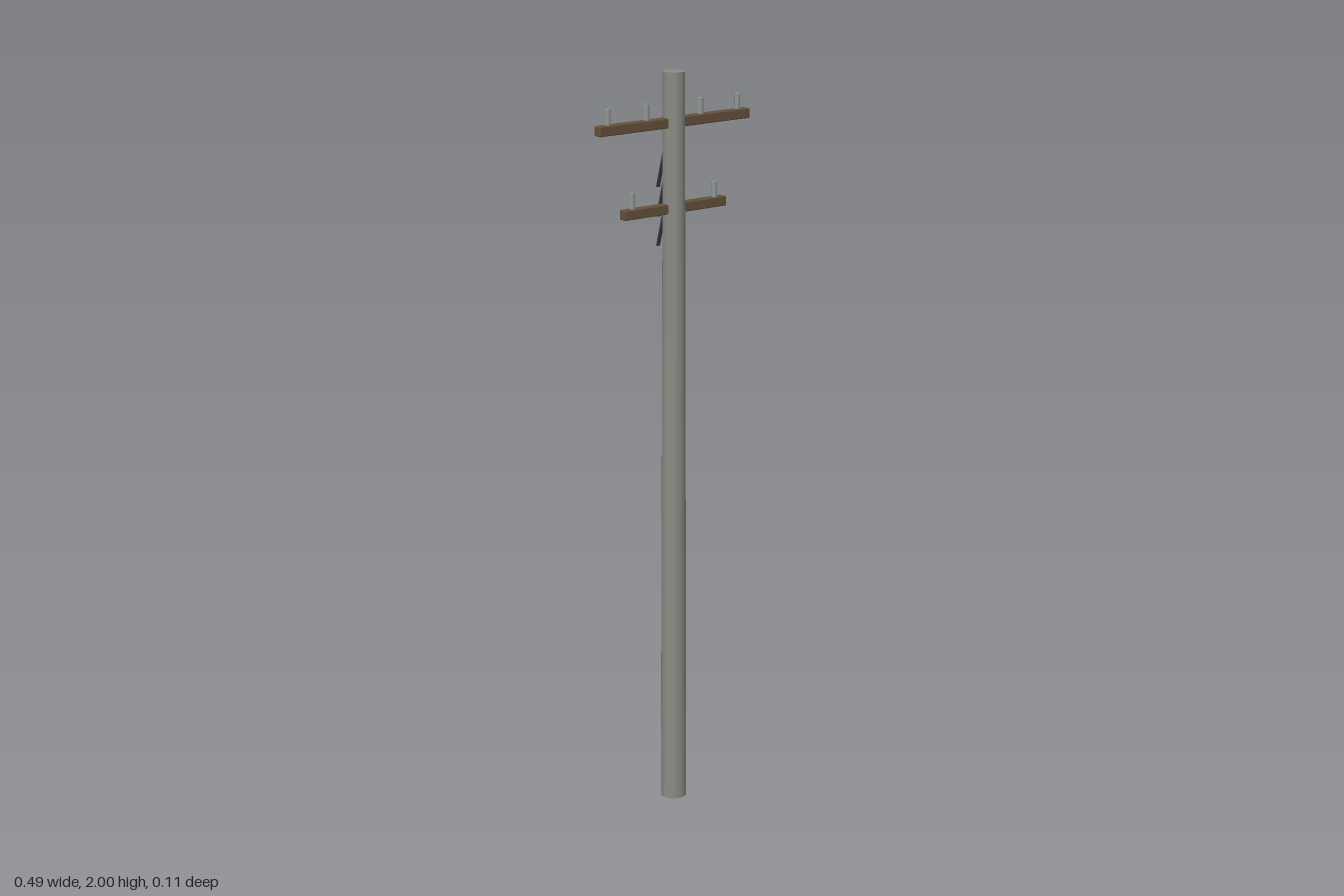
import * as THREE from 'three';
import { RoundedBoxGeometry } from 'three/addons/geometries/RoundedBoxGeometry.js';

const POLE_Z = 0.0145;

export function createModel() {
  const model = new THREE.Group();
  const poleMat = new THREE.MeshStandardMaterial({ color: 0x8c8c86 });
  const woodMat = new THREE.MeshStandardMaterial({ color: 0x65513a });
  const pinMat = new THREE.MeshStandardMaterial({ color: 0x8f9a93 });
  const ironMat = new THREE.MeshStandardMaterial({ color: 0x3c4148 });

  const add = (parent, name, geometry, material, x, y, z) => {
    const mesh = new THREE.Mesh(geometry, material);
    mesh.name = name;
    mesh.position.set(x, y, z);
    parent.add(mesh);
    return mesh;
  };

  // Tapered pole
  add(model, 'pole', new THREE.CylinderGeometry(0.0295, 0.0365, 2, 10), poleMat, 0, 1, POLE_Z);

  // Crossarm with mirrored insulator pins
  const addCrossarm = (name, y, length, pinXs) => {
    const arm = new THREE.Group();
    arm.name = name;
    arm.position.set(0, y, POLE_Z - 0.001);
    add(arm, 'beam', new RoundedBoxGeometry(length, 0.026, 0.026, 1, 0.003), woodMat, 0, 0, 0);
    for (const px of pinXs) {
      for (const side of [-1, 1]) {
        add(arm, 'insulator', new THREE.CylinderGeometry(0.008, 0.008, 0.042, 10), pinMat,
          side * px, 0.033, 0);
      }
    }
    model.add(arm);
  };
  addCrossarm('upperCrossarm', 1.87, 0.488, [0.088, 0.211]);
  addCrossarm('lowerCrossarm', 1.647, 0.332, [0.135]);

  // Thin iron strips slanting down and away from the back of the pole
  for (let i = 0; i < 3; i++) {
    const strip = add(model, 'backStrip', new THREE.BoxGeometry(0.01, 0.148, 0.004), ironMat,
      0, 1.763 - i * 0.078, -0.032);
    strip.rotation.x = Math.atan2(0.04, 0.14);
  }
  return model;
}
